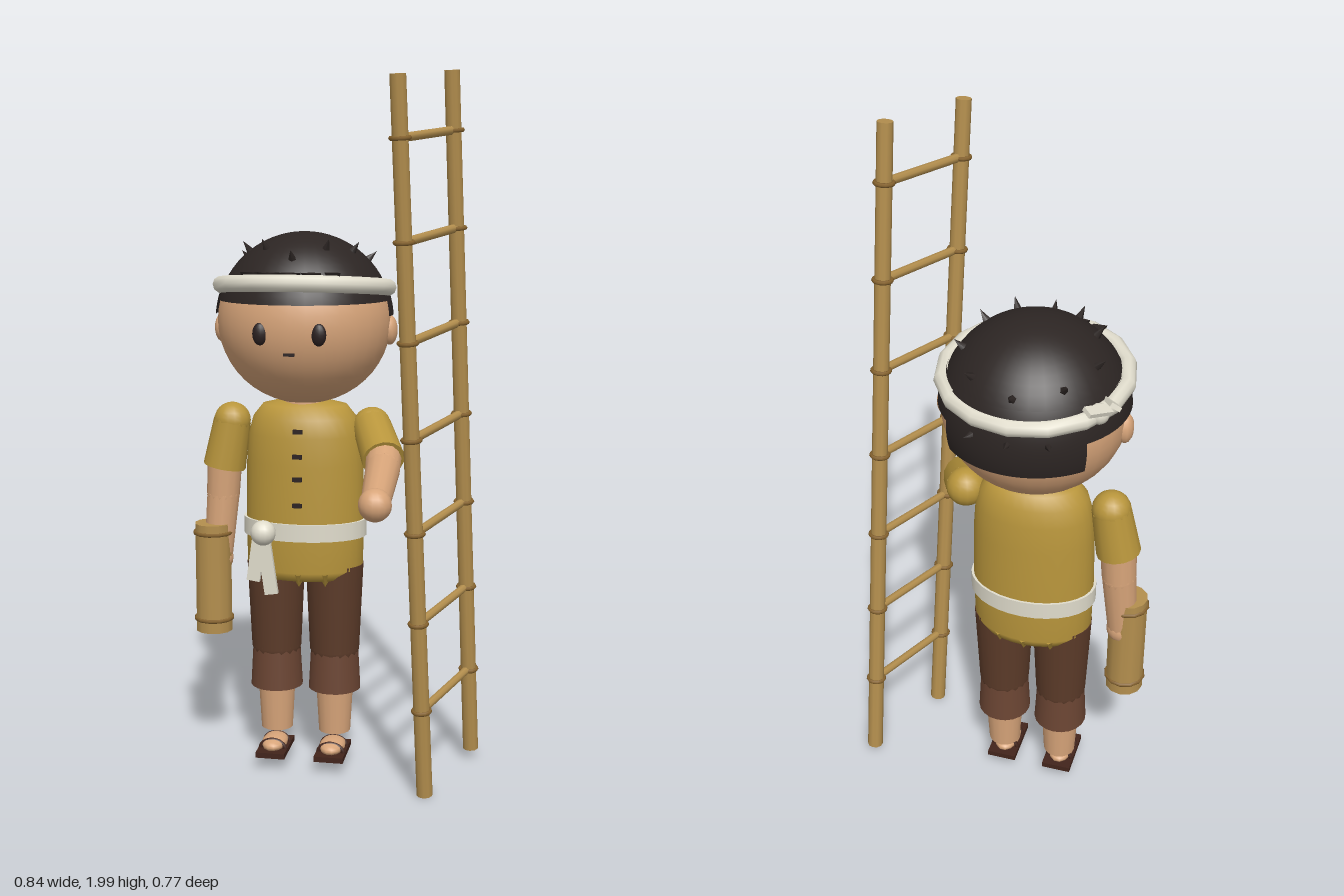
import * as THREE from 'three';

const V = (x, y, z) => new THREE.Vector3(x, y, z);
const mat = (color) => new THREE.MeshStandardMaterial({ color, side: THREE.DoubleSide });
const skin = mat(0xd8a57a), hair = mat(0x2c2523), shirt = mat(0xb9963c), pants = mat(0x5c3b29),
  cuff = mat(0x6b4533), cloth = mat(0xe0dccc), bamboo = mat(0xb48f4e), twine = mat(0x86632f),
  dark = mat(0x2a2020), sole = mat(0x42241b);

export function createModel() {
  const root = new THREE.Group();
  const CX = -0.09, CZ = -0.11;

  const add = (parent, name, geo, material, x = 0, y = 0, z = 0) => {
    const m = new THREE.Mesh(geo, material);
    m.name = name;
    m.position.set(x, y, z);
    parent.add(m);
    return m;
  };
  const group = (name, x = 0, y = 0, z = 0) => {
    const g = new THREE.Group();
    g.name = name;
    g.position.set(x, y, z);
    root.add(g);
    return g;
  };
  // Turn an object's y axis along a direction
  const aim = (m, dir) => m.quaternion.setFromUnitVectors(V(0, 1, 0), dir.clone().normalize());
  // Tapered cylinder from a to b
  const rod = (parent, name, a, b, ra, rb, material, sides = 12) => {
    const d = b.clone().sub(a), c = a.clone().add(b).multiplyScalar(0.5);
    const m = add(parent, name, new THREE.CylinderGeometry(rb, ra, d.length(), sides), material, c.x, c.y, c.z);
    aim(m, d);
    return m;
  };
  const ball = (parent, name, p, r, material) =>
    add(parent, name, new THREE.SphereGeometry(r, 16, 12), material, p.x, p.y, p.z);
  // Ring around an axis
  const ring = (parent, name, p, axis, r, tube, material) => {
    const geo = new THREE.TorusGeometry(r, tube, 6, 12).rotateX(Math.PI / 2);
    aim(add(parent, name, geo, material, p.x, p.y, p.z), axis);
  };

  // Head, origin at the skull centre
  const head = group('head', CX, 1.325, CZ);
  add(head, 'skull', new THREE.SphereGeometry(1, 32, 24), skin).scale.set(0.247, 0.237, 0.235);
  for (const s of [-1, 1]) {
    add(head, 'ear', new THREE.SphereGeometry(1, 12, 10), skin, s * 0.243, -0.025, -0.01).scale.set(0.022, 0.042, 0.032);
    add(head, 'eye', new THREE.SphereGeometry(1, 14, 10), dark, s * 0.081, -0.02, 0.218).scale.set(0.021, 0.031, 0.014);
  }
  add(head, 'mouth', new THREE.BoxGeometry(0.03, 0.008, 0.01), dark, 0, -0.075, 0.222);

  // Hair: cap plus two stepped patches reaching down the back
  const hairPatch = (name, r, halfAngle, top, bottom) =>
    add(head, name, new THREE.SphereGeometry(r, 32, 14, 1.5 * Math.PI - halfAngle, 2 * halfAngle, top, bottom - top), hair);
  hairPatch('hairCap', 0.25, Math.PI, 0, 1.33);
  hairPatch('hairSides', 0.253, 1.75, 1.1, 1.5);
  hairPatch('hairBack', 0.256, 0.8, 1.1, 1.83);

  // Spiky tufts standing on the hair
  const tuft = (a, theta, r = 0.015, h = 0.045) => {
    const d = V(Math.sin(a) * Math.sin(theta), Math.cos(theta), -Math.cos(a) * Math.sin(theta));
    const p = d.clone().multiplyScalar(0.26);
    aim(add(head, 'hairTuft', new THREE.ConeGeometry(r, h, 5), hair, p.x, p.y, p.z), d);
  };
  const tilt = [1.0, 0.92, 0.82, 0.66, 0.6, 0.76];
  for (let i = 0; i < 10; i++) tuft((i * Math.PI) / 5, tilt[Math.min(i, 10 - i)]);
  for (const a of [-0.4, 0, 0.4]) tuft(a, 1.45);
  // Fringe pointing down under the headband
  for (let i = -2; i <= 2; i++) {
    const a = i * 0.27;
    const f = add(head, 'fringe', new THREE.ConeGeometry(0.032, 0.08, 4), hair,
      Math.sin(a) * 0.215, 0.105, Math.cos(a) * 0.215);
    f.rotation.set(Math.PI, a, 0);
    f.scale.z = 0.6;
  }

  // Headband with knot and two short ends
  const band = add(head, 'headband', new THREE.TorusGeometry(0.238, 0.024, 10, 16).rotateX(Math.PI / 2), cloth, 0, 0.095, 0);
  band.rotation.x = -0.1;
  ball(head, 'headbandKnot', V(-0.2, 0.085, 0.11 - 0.245), 0.027, cloth);
  const ends = [[-0.225, 0.105, -0.11, 0.5], [-0.205, 0.115, -0.17, -0.6]];
  for (const [x, y, z, yaw] of ends) {
    const e = add(head, 'headbandEnd', new THREE.BoxGeometry(0.03, 0.012, 0.075), cloth, x, y, z);
    e.rotation.set(0.3, yaw, 0.5);
  }

  // Torso
  const body = group('torso', CX, 0, CZ);
  const profile = [[0, 0.585], [0.155, 0.585], [0.17, 0.61], [0.173, 0.75], [0.17, 0.92], [0.164, 1.0],
    [0.15, 1.05], [0.122, 1.085], [0.06, 1.1], [0, 1.1]].map(([x, y]) => new THREE.Vector2(x, y));
  add(body, 'shirt', new THREE.LatheGeometry(profile, 32), shirt).scale.z = 0.68;
  add(body, 'neck', new THREE.CylinderGeometry(0.06, 0.07, 0.1, 16), skin, 0, 1.09, 0);
  for (let i = 0; i < 12; i++) {
    const a = (i / 12) * Math.PI * 2;
    const h = add(body, 'tornHem', new THREE.ConeGeometry(0.024, 0.04, 4), shirt, Math.sin(a) * 0.148, 0.587, Math.cos(a) * 0.098);
    h.rotation.x = Math.PI;
  }
  for (const y of [1.02, 0.95, 0.885, 0.81])
    add(body, 'button', new THREE.BoxGeometry(0.027, 0.012, 0.014), dark, 0, y, y > 1 ? 0.109 : 0.117);

  // Sash with knot and hanging ends
  add(body, 'sash', new THREE.CylinderGeometry(0.18, 0.18, 0.05, 32), cloth, 0, 0.73, 0).scale.z = 0.69;
  ball(body, 'sashKnot', V(-0.092, 0.735, 0.15), 0.036, cloth);
  for (const [x, y, len, lean] of [[-0.112, 0.66, 0.13, -0.14], [-0.08, 0.64, 0.165, 0.14]])
    add(body, 'sashEnd', new THREE.BoxGeometry(0.038, len, 0.014), cloth, x, y, 0.15).rotation.z = lean;

  // Legs and sandals
  for (const s of [-1, 1]) {
    const leg = group(s > 0 ? 'leftLeg' : 'rightLeg', CX + s * 0.087, 0, CZ);
    add(leg, 'trouserThigh', new THREE.CylinderGeometry(0.085, 0.073, 0.26, 20), pants, 0, 0.49, 0);
    add(leg, 'trouserKnee', new THREE.SphereGeometry(0.073, 16, 10), pants, 0, 0.365, 0);
    add(leg, 'trouserCuff', new THREE.CylinderGeometry(0.07, 0.077, 0.125, 20), cuff, 0, 0.303, 0);
    add(leg, 'shin', new THREE.CylinderGeometry(0.055, 0.047, 0.14, 16), skin, 0, 0.177, 0);
    add(leg, 'foot', new THREE.SphereGeometry(1, 14, 10), skin, 0, 0.07, 0.035).scale.set(0.038, 0.022, 0.065);
    add(leg, 'sandalSole', new THREE.BoxGeometry(0.086, 0.016, 0.15), sole, 0, 0.052, 0.035);
    for (const z of [0.005, 0.065])
      add(leg, 'sandalStrap', new THREE.TorusGeometry(0.037, 0.007, 6, 14, Math.PI), sole, 0, 0.056, z).scale.y = 0.8;
  }

  // Right arm hanging down beside a bamboo container
  const rightArm = group('rightArm');
  const rs = V(-0.305, 1.03, CZ), re = V(-0.33, 0.895, CZ), rm = V(-0.335, 0.81, CZ), rh = V(-0.35, 0.62, -0.1);
  ball(rightArm, 'shoulder', rs, 0.054, shirt);
  rod(rightArm, 'sleeve', rs, re, 0.054, 0.062, shirt, 14);
  rod(rightArm, 'upperArm', re, rm, 0.05, 0.048, skin, 14);
  ball(rightArm, 'elbow', rm, 0.048, skin);
  rod(rightArm, 'forearm', rm, rh, 0.048, 0.042, skin, 14);
  ball(rightArm, 'hand', rh, 0.045, skin);

  const tube = group('bambooContainer', -0.362, 0, -0.09);
  add(tube, 'containerWall', new THREE.CylinderGeometry(0.054, 0.054, 0.325, 12), bamboo, 0, 0.565, 0);
  for (const y of [0.44, 0.7]) ring(tube, 'containerBinding', V(0, y, 0), V(0, 1, 0), 0.054, 0.006, twine);

  // Left arm reaching forward
  const leftArm = group('leftArm');
  const ls = V(0.105, 1.025, -0.11), le = V(0.158, 0.955, 0.03), lm = V(0.163, 0.94, 0.08), lh = V(0.18, 0.897, 0.34);
  ball(leftArm, 'shoulder', ls, 0.055, shirt);
  rod(leftArm, 'sleeve', ls, le, 0.055, 0.06, shirt, 14);
  rod(leftArm, 'upperArm', le, lm, 0.05, 0.048, skin, 14);
  ball(leftArm, 'elbow', lm, 0.048, skin);
  rod(leftArm, 'forearm', lm, lh, 0.048, 0.038, skin, 14);
  ball(leftArm, 'hand', lh, 0.044, skin);

  // Leaning ladder: two rails, seven rungs, lashings at every joint
  const ladder = group('ladder');
  const a0 = V(0.29, 0.01, 0.09), a1 = V(0.222, 1.97, 0.284);
  const b0 = V(0.396, 0.04, -0.2), b1 = V(0.328, 2.0, -0.006);
  rod(ladder, 'frontRail', a0, a1, 0.023, 0.021, bamboo, 10);
  rod(ladder, 'backRail', b0, b1, 0.023, 0.021, bamboo, 10);
  const axis = a1.clone().sub(a0);
  for (let i = 0; i < 7; i++) {
    const t = 0.131 + i * 0.1317;
    const p = a0.clone().lerp(a1, t), q = b0.clone().lerp(b1, t);
    rod(ladder, 'rung', p, q, 0.012, 0.012, bamboo, 8);
    for (const c of [p, q]) ring(ladder, 'lashing', c, axis, 0.024, 0.006, twine);
  }
  return root;
}
